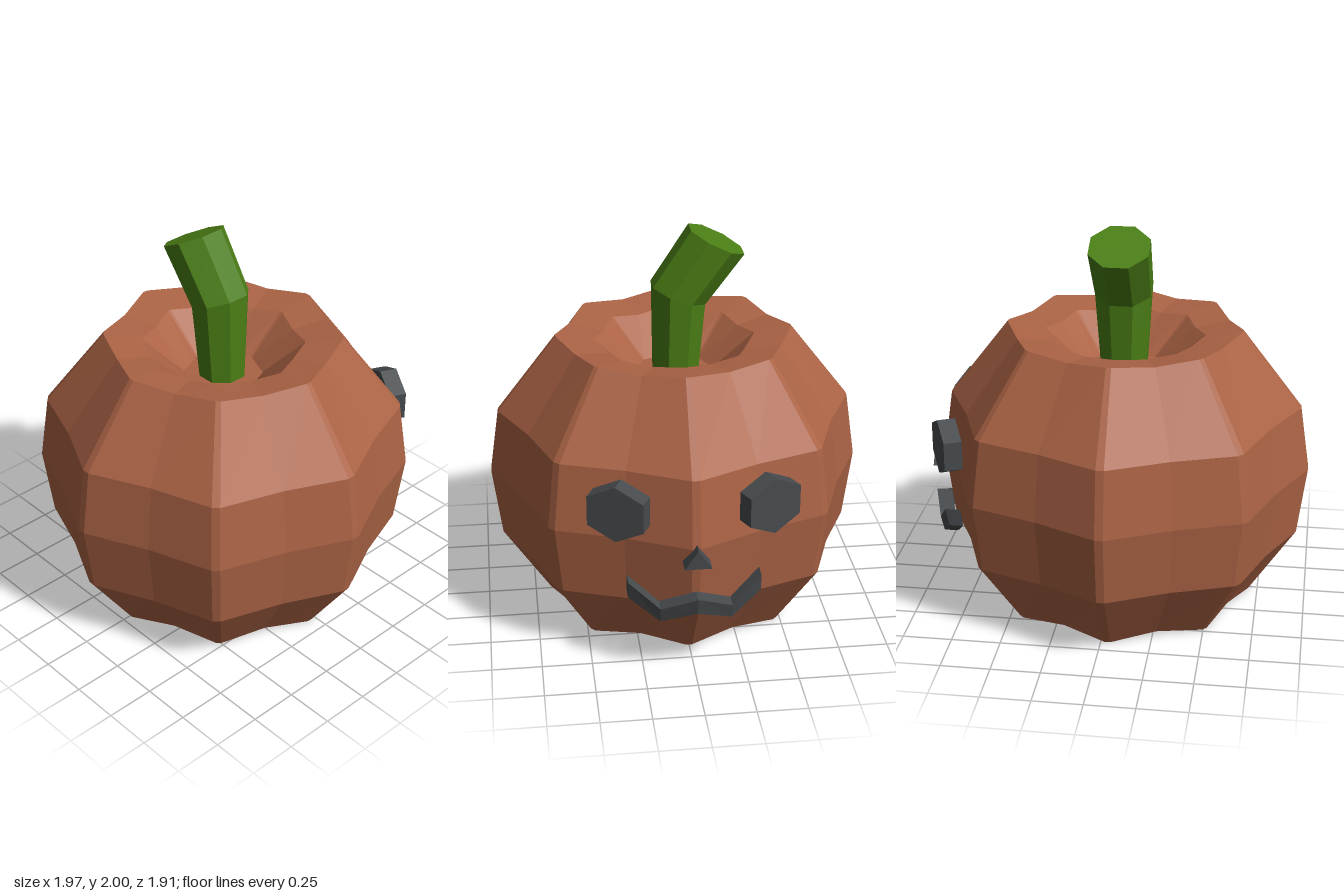
import * as THREE from 'three';

const mat = (color) => new THREE.MeshStandardMaterial({ color, flatShading: true });
const V = (x, y, z) => new THREE.Vector3(x, y, z);

// Skin a list of equal-length rings into a closed, faceted solid
function loft(rings) {
  const pos = [];
  const tri = (...pts) => pts.forEach((p) => pos.push(p.x, p.y, p.z));
  const n = rings[0].length;
  const centre = (r) => r.reduce((s, p) => s.add(p), V(0, 0, 0)).divideScalar(n);
  const first = rings[0], last = rings[rings.length - 1];
  const c0 = centre(first), c1 = centre(last);
  for (let i = 0; i < n; i++) {
    const j = (i + 1) % n;
    for (let k = 0; k + 1 < rings.length; k++) {
      const lo = rings[k], hi = rings[k + 1];
      tri(lo[i], lo[j], hi[j]);
      tri(lo[i], hi[j], hi[i]);
    }
    tri(c0, first[j], first[i]);
    tri(c1, last[i], last[j]);
  }
  const g = new THREE.BufferGeometry();
  g.setAttribute('position', new THREE.Float32BufferAttribute(pos, 3));
  g.computeVertexNormals();
  return g;
}

// Flat polygon extruded to a prism centred on its depth
function prism(points, depth) {
  const shape = new THREE.Shape(points.map(([x, y]) => new THREE.Vector2(x, y)));
  return new THREE.ExtrudeGeometry(shape, { depth, bevelEnabled: false }).translate(0, 0, -depth / 2);
}

export function createModel() {
  const model = new THREE.Group();
  model.name = 'pumpkin';
  const skin = mat(0xab6345), green = mat(0x4b7f15), dark = mat(0x474b4d);
  const add = (name, geometry, material) => {
    const m = new THREE.Mesh(geometry, material);
    m.name = name;
    model.add(m);
    return m;
  };
  const cx = -0.033;

  // Body: eight narrow ridges with a valley between each pair
  // [ridge radius, ridge height, valley radius ratio, valley height]
  const profile = [
    [0.15, 0.07, 0.92, 0.07],
    [0.40, 0.035, 0.92, 0.045],
    [0.67, 0.003, 0.92, 0.025],
    [0.91, 0.36, 0.912, 0.36],
    [0.957, 0.72, 0.912, 0.72],
    [0.907, 1.06, 0.912, 1.06],
    [0.602, 1.457, 0.925, 1.437],
    [0.41, 1.425, 0.92, 1.41],
    [0.20, 1.24, 0.92, 1.24],
  ];
  const body = profile.map(([r, y, ratio, vy]) => {
    const ring = [];
    for (let i = 0; i < 8; i++) {
      const a = (i * Math.PI) / 4;
      const put = (t, rad, h) => ring.push(V(cx + rad * Math.cos(t), h, -rad * Math.sin(t)));
      put(a - 0.022, r, y);
      put(a + 0.022, r, y);
      put(a + Math.PI / 8, r * ratio, vy);
    }
    return ring;
  });
  add('body', loft(body), skin);

  // Stem: octagonal, bending backwards and widening to a slanted end
  // [centre y, centre z, half width, backward direction y, z]
  const stem = [
    [1.18, -0.005, 0.11, 0, -1],
    [1.66, -0.021, 0.14, -0.355, -0.935],
    [1.935, -0.213, 0.148, -0.44, -0.898],
  ].map(([y, z, half, by, bz]) => {
    const r = half / Math.cos(Math.PI / 8);
    return Array.from({ length: 8 }, (_, i) => {
      const t = ((i + 0.5) * Math.PI) / 4;
      const s = r * Math.sin(t);
      return V(cx + r * Math.cos(t), y + s * by, z + s * bz);
    });
  });
  add('stem', loft(stem), green);

  // Eyes: hexagonal blocks following the curve of the body
  const hex = [[0, 0.145], [-0.143, 0.075], [-0.143, -0.075], [0, -0.145], [0.143, -0.075], [0.143, 0.075]];
  for (const side of [1, -1]) {
    const eye = add(side > 0 ? 'eyeFrontSide' : 'eyeBackSide', prism(hex, 0.092), dark);
    eye.position.set(0.826, 0.9, side * 0.364);
    eye.rotation.y = Math.PI / 2 - side * 0.44;
  }

  // Nose: small triangular block
  const nose = add('nose', prism([[-0.066, 0.645], [0.066, 0.645], [0, 0.743]], 0.1), dark);
  nose.position.x = 0.93;
  nose.rotation.y = Math.PI / 2;

  // Mouth: zigzag bar wrapped around the body [z, outer x, top y, bottom y]
  const mouth = [
    [0.325, 0.86, 0.522, 0.43],
    [0.175, 0.925, 0.402, 0.325],
    [0, 0.983, 0.478, 0.39],
    [-0.175, 0.925, 0.402, 0.325],
    [-0.325, 0.86, 0.522, 0.43],
  ].map(([z, x, top, bottom]) => [
    V(x - 0.08, top, z), V(x, top, z), V(x - 0.018, bottom, z), V(x - 0.09, bottom, z),
  ]);
  add('mouth', loft(mouth), dark);

  return model;
}
